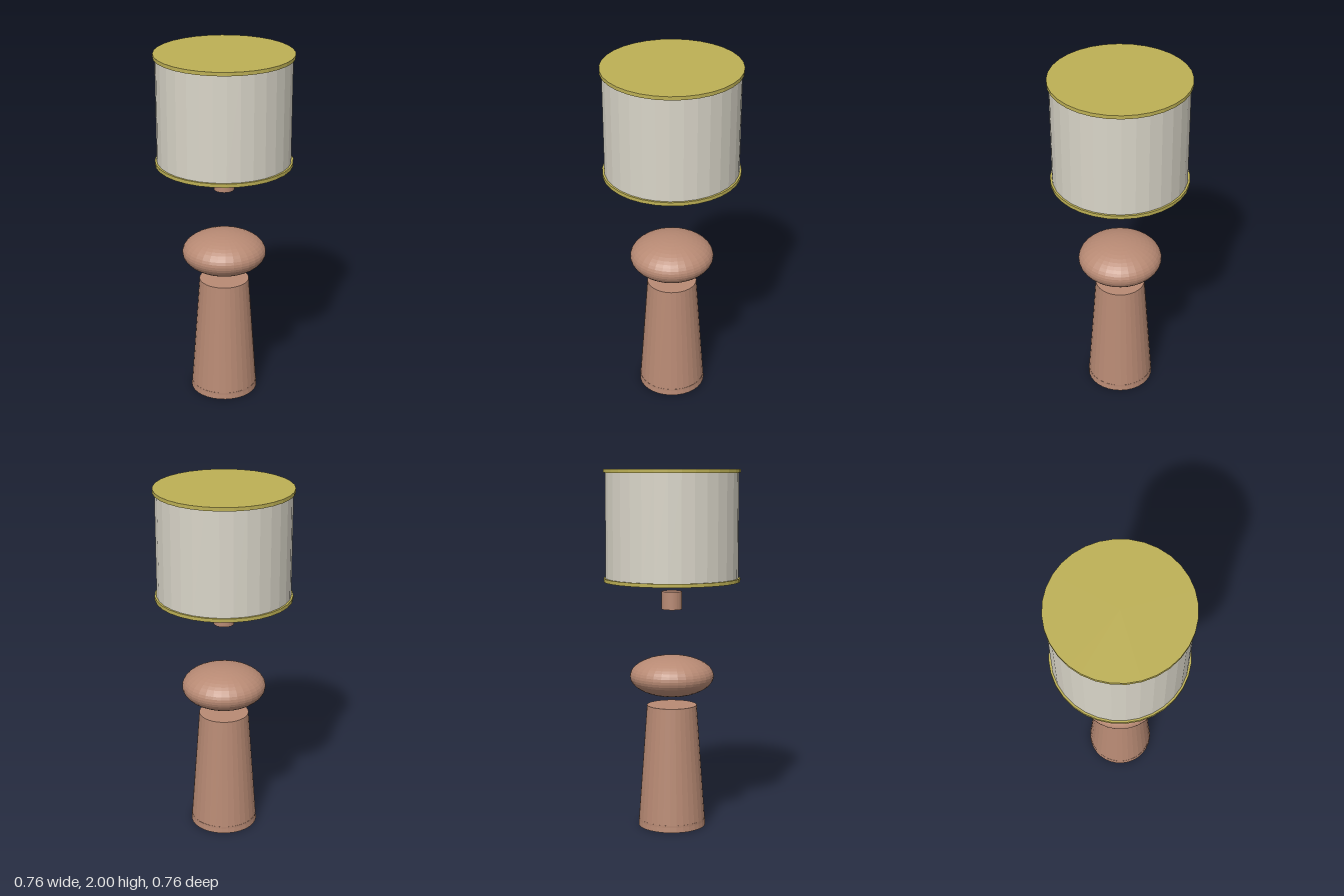
import * as THREE from 'three';

export function createModel() {
  const model = new THREE.Group();
  const paint = (color) => new THREE.MeshStandardMaterial({ color, flatShading: true });
  const wood = paint(0xb88a74);
  const brass = paint(0xbdb055);
  const cream = paint(0xd9d5c8);

  const add = (name, geometry, material, y) => {
    const mesh = new THREE.Mesh(geometry, material);
    mesh.name = name;
    mesh.position.y = y;
    model.add(mesh);
    return mesh;
  };

  // Round part standing between two heights
  const round = (name, rTop, rBottom, y0, y1, material) =>
    add(name, new THREE.CylinderGeometry(rTop, rBottom, y1 - y0, 32), material, (y0 + y1) / 2);

  // Tapered handle with a thin foot ring at its base
  round('handle', 0.14, 0.19, 0, 0.69, wood);
  round('handleFoot', 0.188, 0.188, 0, 0.04, wood);

  // Flattened knob floating above the handle
  const knob = add('knob', new THREE.SphereGeometry(0.235, 32, 24), wood, 0.855);
  knob.scale.y = 0.115 / 0.235;

  // Short axle peg
  round('peg', 0.057, 0.057, 1.23, 1.33, wood);

  // Drum with a slightly wider rim disc at each end
  round('drum', 0.367, 0.367, 1.395, 1.99, cream);
  round('lowerRim', 0.378, 0.378, 1.385, 1.405, brass);
  round('upperRim', 0.378, 0.378, 1.98, 2, brass);

  return model;
}
